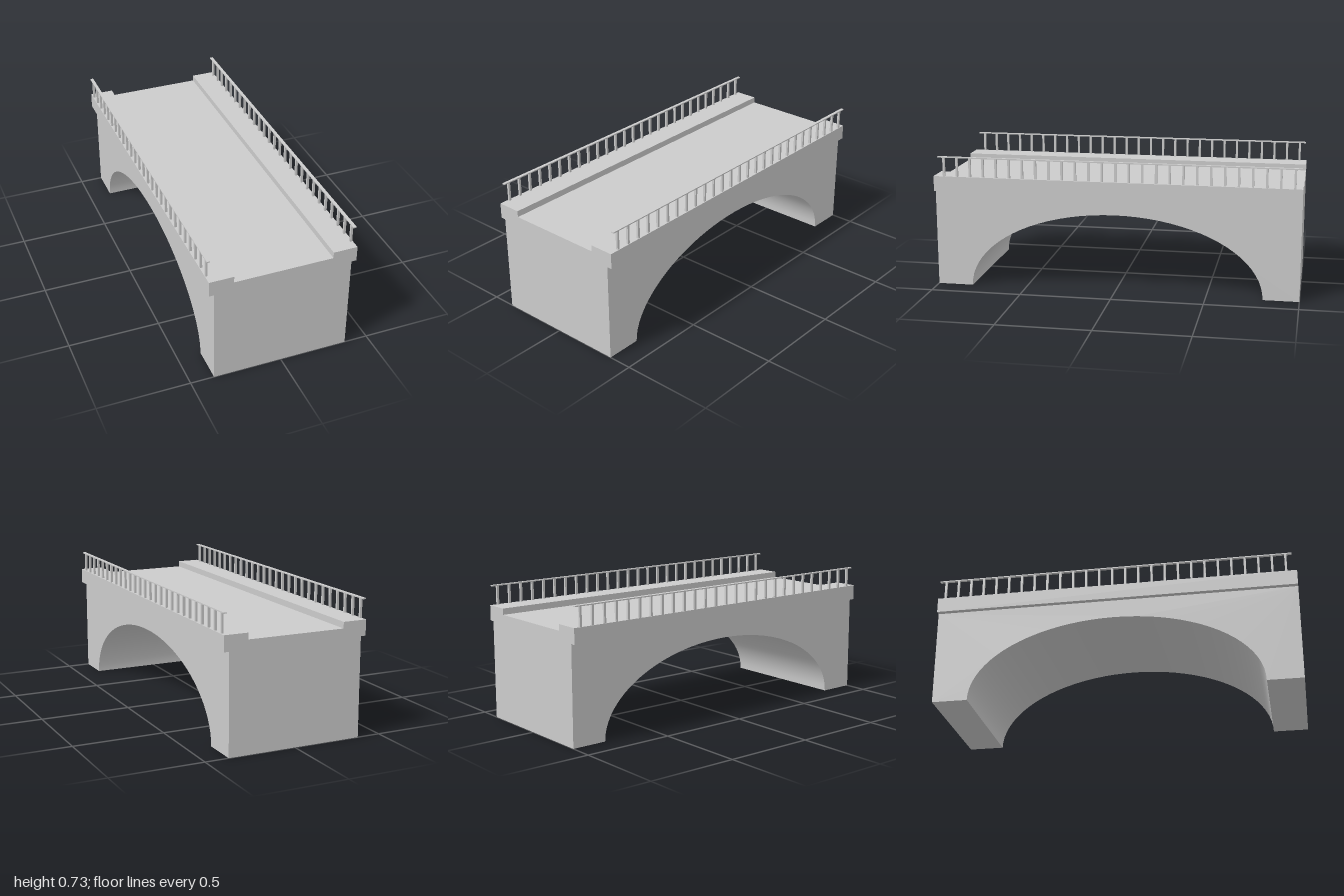
import * as THREE from 'three';
import { toCreasedNormals } from 'three/addons/utils/BufferGeometryUtils.js';

export function createModel() {
  const bridge = new THREE.Group();
  bridge.name = 'archBridge';
  const material = new THREE.MeshStandardMaterial({ color: 0xcccccc });

  const add = (name, geometry, parent = bridge) => {
    const mesh = new THREE.Mesh(geometry, material);
    mesh.name = name;
    parent.add(mesh);
    return mesh;
  };

  // Body: side outline with a half-elliptical arch, extruded across the width
  const halfWidth = 0.372, ledgeY = 0.535;
  const side = new THREE.Shape();
  side.moveTo(-1, 0);
  const segments = 40;
  for (let i = 0; i <= segments; i++) {
    const a = Math.PI * (1 - i / segments);
    side.lineTo(0.805 * Math.cos(a), 0.433 * Math.sin(a));
  }
  side.lineTo(1, 0);
  side.lineTo(1, ledgeY);
  side.lineTo(-1, ledgeY);
  side.closePath();
  const body = new THREE.ExtrudeGeometry(side, { depth: halfWidth * 2, bevelEnabled: false });
  body.translate(0, 0, -halfWidth);
  body.rotateY(Math.PI / 2);
  add('archBody', toCreasedNormals(body, Math.PI / 6));

  // Deck: sunken roadway between two raised, overhanging walkways
  const section = new THREE.Shape([
    [-0.4, ledgeY], [0.4, ledgeY], [0.4, 0.619], [0.268, 0.619],
    [0.268, 0.585], [-0.268, 0.585], [-0.268, 0.619], [-0.4, 0.619],
  ].map(([x, y]) => new THREE.Vector2(x, y)));
  const deck = new THREE.ExtrudeGeometry(section, { depth: 2, bevelEnabled: false });
  deck.translate(0, 0, -1);
  add('deckAndWalkways', deck);

  // Railings: a thin handrail on evenly spaced posts
  const postGeometry = new THREE.BoxGeometry(0.012, 0.104, 0.012);
  const railGeometry = new THREE.BoxGeometry(0.017, 0.006, 1.97);
  for (const [name, x] of [['leftRailing', 0.39], ['rightRailing', -0.392]]) {
    const railing = new THREE.Group();
    railing.name = name;
    railing.position.x = x;
    bridge.add(railing);
    add('handrail', railGeometry, railing).position.set(0, 0.725, -0.009);
    for (let i = 0; i < 27; i++) {
      add('railingPost', postGeometry, railing).position.set(0, 0.671, 0.942 - i * 0.0731);
    }
  }

  return bridge;
}
